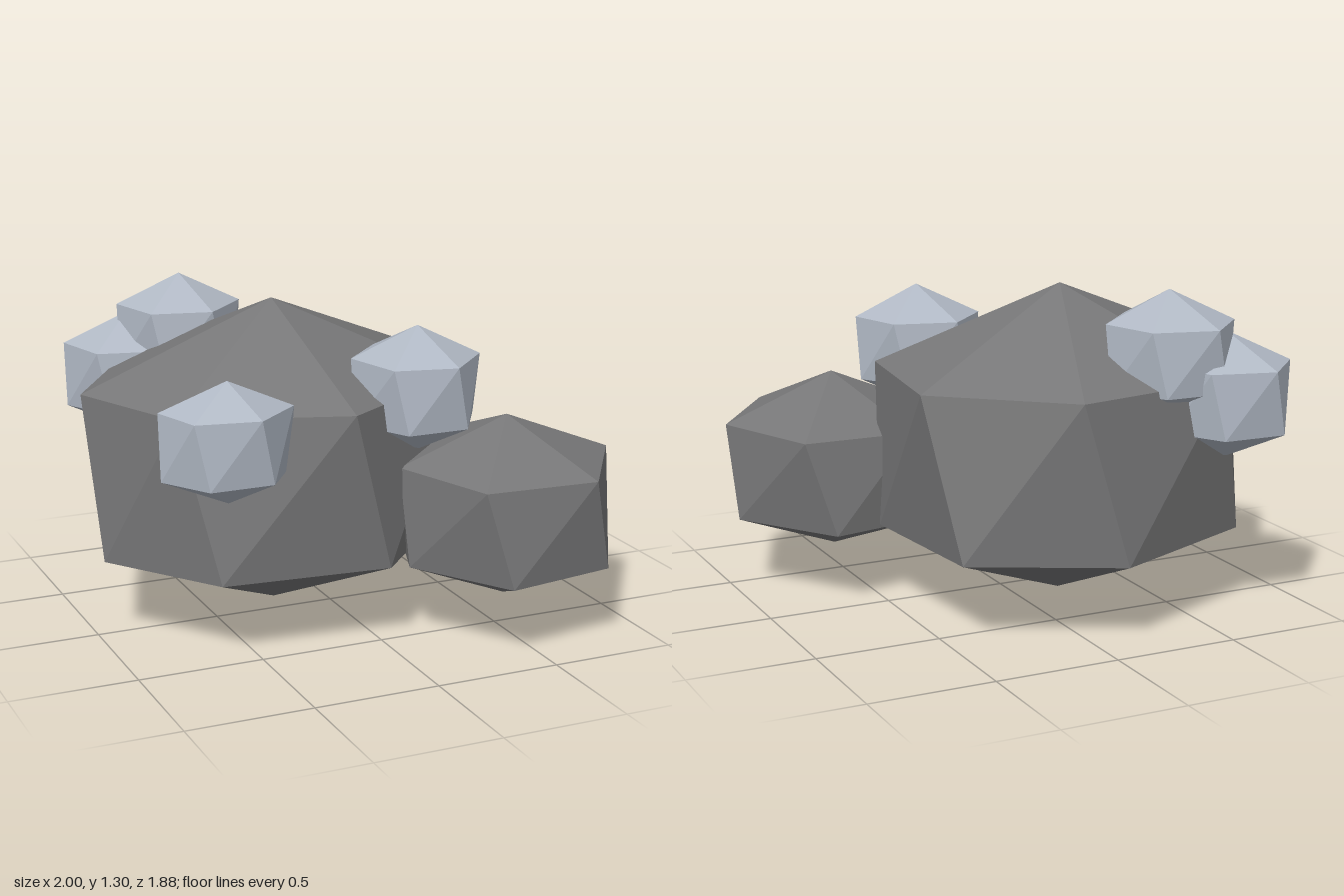
import * as THREE from 'three';
import { ConvexGeometry } from 'three/addons/geometries/ConvexGeometry.js';

const TWIST = THREE.MathUtils.degToRad(-13);

// Faceted stone: two poles, an upper ring (x, z offsets) and the same ring twisted below.
function stoneGeometry(ring, halfHeight, ringHeight, zScale = 1) {
  const points = [new THREE.Vector3(0, halfHeight, 0), new THREE.Vector3(0, -halfHeight, 0)];
  const c = Math.cos(TWIST), s = Math.sin(TWIST);
  for (const [x, z] of ring) {
    points.push(new THREE.Vector3(x, ringHeight, z * zScale));
    points.push(new THREE.Vector3(x * c - z * s, -ringHeight, (x * s + z * c) * zScale));
  }
  return new ConvexGeometry(points);
}

export function createModel() {
  const model = new THREE.Group();
  model.name = 'crystalRock';

  const rock = new THREE.MeshStandardMaterial({ color: 0x777778, flatShading: true });
  rock.name = 'dark grey rock';
  const crystal = new THREE.MeshStandardMaterial({ color: 0xb0b8c4, flatShading: true });
  crystal.name = 'pale blue grey crystal';

  const add = (name, geometry, material, position) => {
    const mesh = new THREE.Mesh(geometry, material);
    mesh.name = name;
    mesh.position.set(...position);
    model.add(mesh);
  };

  // Seven-sided main boulder
  const boulderRing = [
    [-0.8, 0], [-0.41, -0.61], [0.28, -0.74], [0.755, -0.34],
    [0.67, 0.31], [0.05, 0.72], [-0.59, 0.51],
  ];
  add('mainBoulder', stoneGeometry(boulderRing, 0.633, 0.316), rock, [-0.2, 0.633, -0.13]);

  // Six-sided smaller boulder in front
  const smallRing = [
    [-0.44, -0.05], [-0.17, -0.46], [0.285, -0.45],
    [0.46, 0], [0.17, 0.42], [-0.29, 0.39],
  ];
  add('smallBoulder', stoneGeometry(smallRing, 0.37, 0.188), rock, [0.54, 0.488, 0.49]);

  // Ore nuggets sharing one six-sided shape
  const nuggetRing = [
    [-0.25, -0.07], [-0.07, -0.255], [0.18, -0.19],
    [0.25, 0.045], [0.06, 0.24], [-0.185, 0.185],
  ];
  const nuggets = [
    ['frontRightNugget', [-0.625, 0.873, 0.483], 0.235, 0.125, 0.84],
    ['frontLeftNugget', [0.21, 0.967, 0.36], 0.25, 0.125, 1],
    ['upperBackNugget', [-0.42, 1.047, -0.61], 0.25, 0.125, 1],
    ['lowerBackNugget', [-0.63, 0.883, -0.688], 0.25, 0.127, 1],
  ];
  for (const [name, position, half, ringY, zScale] of nuggets) {
    add(name, stoneGeometry(nuggetRing, half, ringY, zScale), crystal, position);
  }

  return model;
}
